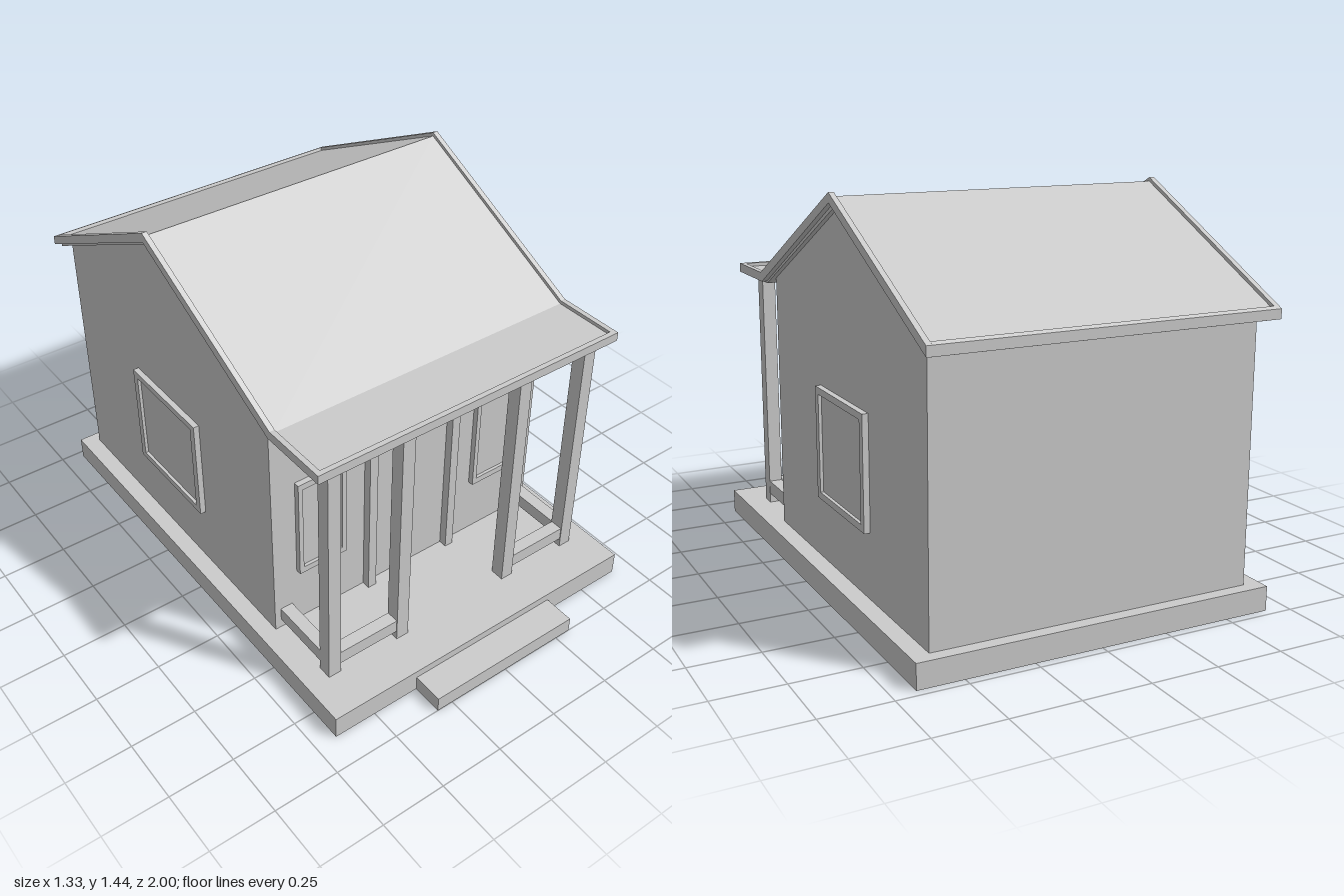
import * as THREE from 'three';

const grey = new THREE.MeshStandardMaterial({ color: 0xcccccc, flatShading: true });
const thin = new THREE.MeshStandardMaterial({ color: 0xcccccc, flatShading: true, side: THREE.DoubleSide });

const shapeOf = (pts) => new THREE.Shape(pts.map(([a, b]) => new THREE.Vector2(a, b)));

export function createModel() {
  const house = new THREE.Group();
  house.name = 'house';

  function add(name, geometry, material = grey) {
    const mesh = new THREE.Mesh(geometry, material);
    mesh.name = name;
    house.add(mesh);
    return mesh;
  }

  // Box given by its minimum and maximum corners
  function box(name, x0, x1, y0, y1, z0, z1) {
    add(name, new THREE.BoxGeometry(x1 - x0, y1 - y0, z1 - z0))
      .position.set((x0 + x1) / 2, (y0 + y1) / 2, (z0 + z1) / 2);
  }

  // Solid with a (z, y) profile running across x
  function across(name, pts, x0, x1) {
    const g = new THREE.ExtrudeGeometry(shapeOf(pts), { depth: x1 - x0, bevelEnabled: false });
    add(name, g.rotateY(-Math.PI / 2).translate(x1, 0, 0));
  }

  // Upright band around a closed (x, z) outline
  function band(name, pts, y0, y1) {
    const v = [];
    pts.forEach(([ax, az], i) => {
      const [bx, bz] = pts[(i + 1) % pts.length];
      v.push(ax, y0, az, bx, y0, bz, bx, y1, bz, ax, y0, az, bx, y1, bz, ax, y1, az);
    });
    const g = new THREE.BufferGeometry();
    g.setAttribute('position', new THREE.Float32BufferAttribute(v, 3));
    g.computeVertexNormals();
    add(name, g, thin);
  }

  // Slab open underneath
  function platform(name, x, z0, z1, top) {
    const plate = new THREE.PlaneGeometry(2 * x, z1 - z0).rotateX(-Math.PI / 2);
    add(name + 'Top', plate.translate(0, top, (z0 + z1) / 2), thin);
    band(name + 'Sides', [[-x, z1], [x, z1], [x, z0], [-x, z0]], 0, top);
  }

  // Window centred on x = 0 with its back at z = 0: frame and slightly sunken pane
  function windowUnit(name, w, border, place) {
    const y0 = 0.33, y1 = 0.742, lip = 0.025;
    const s = shapeOf([[-w, y0], [w, y0], [w, y1], [-w, y1]]);
    const b = w - border, c = y0 + lip, d = y1 - lip;
    s.holes.push(shapeOf([[-b, c], [-b, d], [b, d], [b, c]]));
    const frame = new THREE.ExtrudeGeometry(s, { depth: 0.022, bevelEnabled: false });
    const pane = new THREE.PlaneGeometry(2 * b, d - c).translate(0, (c + d) / 2, 0.01);
    add(name + 'Frame', place(frame));
    add(name + 'Pane', place(pane));
  }

  // Base, step and the wall footing that passes down through the deck
  const W = 0.602, FRONT = 0.422, BACK = -0.923, DECK = 0.09;
  const footing = [
    [-W, FRONT], [-0.205, FRONT], [-0.205, 0.455], [-0.17, 0.455], [-0.17, FRONT],
    [0.17, FRONT], [0.17, 0.455], [0.205, 0.455], [0.205, FRONT], [W, FRONT], [W, BACK], [-W, BACK],
  ];
  platform('base', 0.667, -0.97, 0.88, DECK);
  platform('step', 0.315, 0.88, 1.0, 0.06);
  band('footing', footing, 0.06, DECK);

  // Gabled body
  across('walls', [[FRONT, DECK], [FRONT, 1.07], [-0.25, 1.4], [BACK, 1.07], [BACK, DECK]], -W, W);

  // Roof: inset slab with a raised rim all round
  across('roofSlab', [
    [0.735, 1.061], [0.49, 1.061], [-0.25, 1.428], [-0.98, 1.069],
    [-0.98, 1.033], [-0.25, 1.392], [0.475, 1.033], [0.735, 1.033],
  ], -0.62, 0.62);
  for (const x of [-0.64, 0.62]) {
    across('roofRake', [
      [0.755, 1.074], [0.492, 1.074], [-0.25, 1.442], [-1, 1.073],
      [-1, 1.038], [-0.25, 1.407], [0.48, 1.04], [0.755, 1.04],
    ], x, x + 0.02);
  }
  box('frontFascia', -0.62, 0.62, 1.04, 1.074, 0.735, 0.755);
  across('backFascia', [[-1, 1.073], [-0.985, 1.081], [-0.975, 1.05], [-1, 1.038]], -0.62, 0.62);

  for (const s of [-1, 1]) {
    // Porch posts and rails, mirrored
    const span = (name, a, b, y0, y1, z0, z1) =>
      box(name, Math.min(s * a, s * b), Math.max(s * a, s * b), y0, y1, z0, z1);
    span('outerPost', 0.527, 0.578, DECK, 1.033, 0.663, 0.718);
    span('innerPost', 0.227, 0.278, DECK, 1.033, 0.663, 0.718);
    span('frontRail', 0.278, 0.527, 0.127, 0.18, 0.665, 0.715);
    span('sideRail', 0.528, 0.577, 0.127, 0.18, FRONT, 0.663);

    // Front and side windows
    windowUnit('frontWindow', 0.102, 0.018, (g) => g.translate(s * 0.402, 0, FRONT));
    windowUnit('sideWindow', 0.217, 0.028, (g) => g.rotateY(s * Math.PI / 2).translate(s * W, 0, -0.25));
  }

  // Door frame
  const door = shapeOf([
    [-0.205, DECK], [-0.17, DECK], [-0.17, 0.76], [0.17, 0.76],
    [0.17, DECK], [0.205, DECK], [0.205, 0.79], [-0.205, 0.79],
  ]);
  add('doorFrame', new THREE.ExtrudeGeometry(door, { depth: 0.033, bevelEnabled: false }).translate(0, 0, FRONT));

  return house;
}
